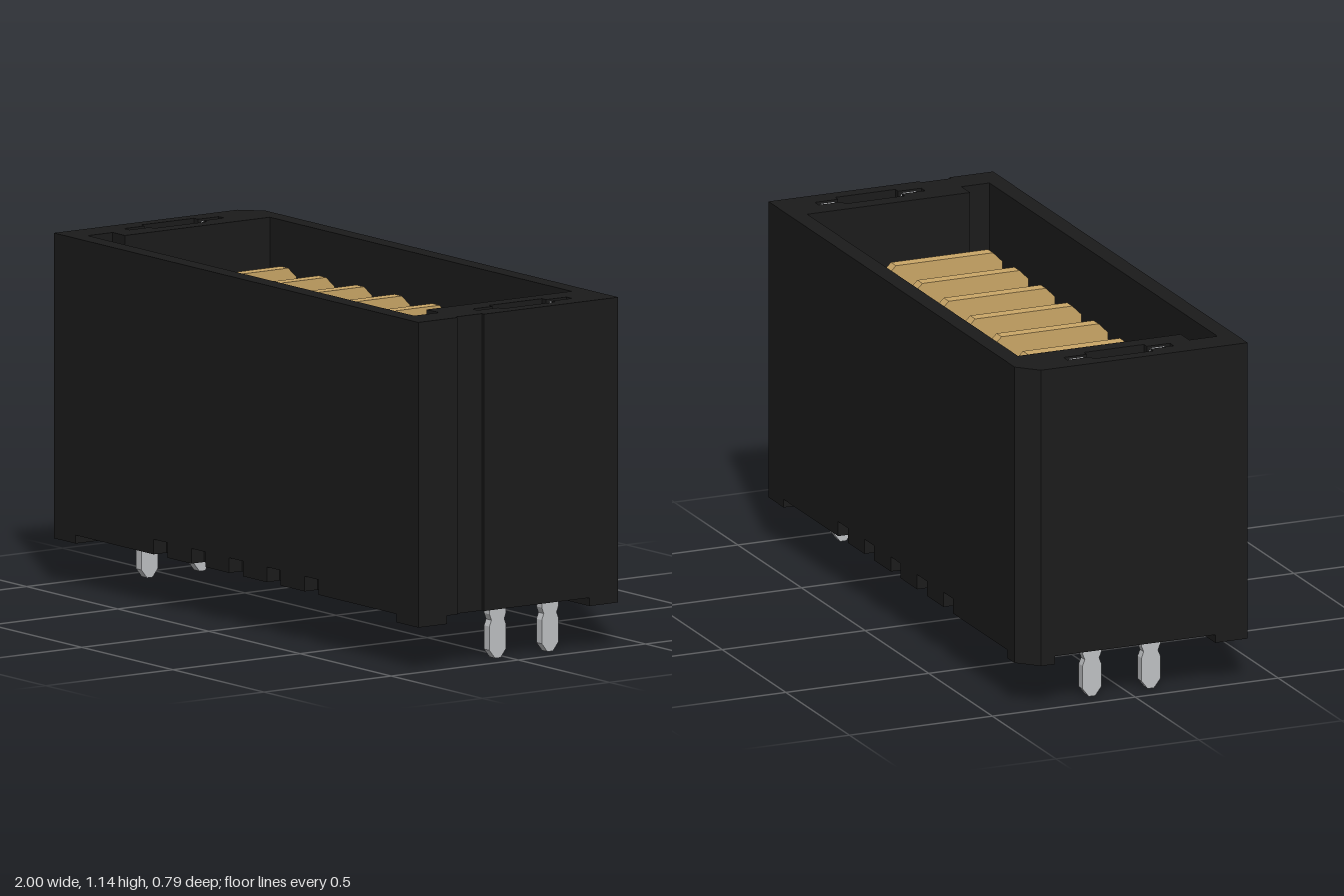
import * as THREE from 'three';

const black = new THREE.MeshStandardMaterial({ name: 'black plastic', color: 0x1b1b1b });
const gold = new THREE.MeshStandardMaterial({ name: 'gold contact', color: 0xcba767 });
const steel = new THREE.MeshStandardMaterial({ name: 'grey metal', color: 0xbfc1c4 });

// [x, z] points to 2D; z is negated so the extrusion can be turned to face up
const flat = (pts) => pts.map(([x, z]) => new THREE.Vector2(x, -z));
const rect = (x0, x1, z0, z1) => [[x0, z0], [x1, z0], [x1, z1], [x0, z1]];

// Horizontal slab between two heights; the outline runs opposite to its holes
function slab(name, outline, holes, y0, y1) {
  const shape = new THREE.Shape(flat(outline).reverse());
  shape.holes = holes.map((h) => new THREE.Path(flat(h)));
  const geo = new THREE.ExtrudeGeometry(shape, { depth: y1 - y0, bevelEnabled: false });
  geo.rotateX(-Math.PI / 2).translate(0, y0, 0);
  const mesh = new THREE.Mesh(geo, black);
  mesh.name = name;
  return mesh;
}

// Thin upright plate from [z, y] points, centred on x
function plate(name, pts, thickness, material) {
  const shape = new THREE.Shape(pts.map(([z, y]) => new THREE.Vector2(-z, y)));
  const geo = new THREE.ExtrudeGeometry(shape, { depth: thickness, bevelEnabled: false });
  geo.translate(0, 0, -thickness / 2).rotateY(Math.PI / 2);
  const mesh = new THREE.Mesh(geo, material);
  mesh.name = name;
  return mesh;
}

// Housing outline: bevelled back corner, groove in the left side, optional notches in the long edges
function housingOutline(notched) {
  const centres = [-0.414, -0.207, 0, 0.207, 0.414];
  const edge = (z, inner, dir) => centres.map((c) => c * dir).flatMap((c) => {
    const a = c - 0.038 * dir, b = c + 0.038 * dir;
    return [[a, z], [a, inner], [b, inner], [b, z]];
  });
  return [
    [-1, -0.33], [-0.935, -0.393], ...(notched ? edge(-0.393, -0.345, 1) : []), [1, -0.393],
    [1, 0.135], [0.988, 0.135], [0.988, 0.24], [1, 0.24],
    [1, 0.393], ...(notched ? edge(0.393, 0.343, -1) : []), [-1, 0.393],
  ];
}

// Cross-shaped slot that grips an end clip
function clipSlot(x, z) {
  const w = 0.037, n = 0.0145, a = 0.105, b = 0.186;
  return [[-n, -b], [n, -b], [n, -a], [w, -a], [w, a], [n, a], [n, b], [-n, b], [-n, a], [-w, a], [-w, -a], [-n, -a]]
    .map(([dx, dz]) => [x + dx, z + dz]);
}

const clips = [[-0.919, -0.022], [0.916, -0.075]];

function makeHousing() {
  const housing = new THREE.Group();
  housing.name = 'housing';
  const slots = clips.map(([x, z]) => clipSlot(x, z));
  const recesses = [rect(-0.83, -0.65, -0.335, 0.333), rect(0.65, 0.825, -0.335, 0.333)];
  const well = rect(-0.633, 0.631, -0.335, 0.333);
  const cavity = [[-0.83, -0.335], [0.825, -0.335], [0.825, 0.235], [0.893, 0.235], [0.893, 0.333],
    [-0.897, 0.333], [-0.897, 0.235], [-0.83, 0.235]];
  const plain = housingOutline(false);
  housing.add(
    slab('notchedBase', housingOutline(true), [...recesses, ...slots], 0.173, 0.222),
    slab('floor', plain, [...recesses, ...slots], 0.222, 0.3),
    slab('lowerWalls', plain, [well, ...recesses, ...slots], 0.3, 0.38),
    slab('endLedges', plain, [well, ...slots], 0.38, 0.42),
    slab('upperWalls', plain, [cavity, ...slots], 0.42, 1.137),
  );
  // Corner feet
  const feet = [
    rect(0.88, 1, 0.28, 0.393), rect(-1, -0.88, 0.28, 0.393), rect(0.88, 1, -0.393, -0.28),
    [[-1, -0.33], [-0.935, -0.393], [-0.88, -0.393], [-0.88, -0.28], [-1, -0.28]],
  ];
  for (const f of feet) housing.add(slab('foot', f, [], 0.146, 0.173));
  return housing;
}

// Blade contact with bevelled corners
function makeBlade(x) {
  const blade = plate('contactBlade', [
    [-0.145, 0.14], [0.145, 0.14], [0.202, 0.2], [0.202, 1.005], [0.17, 1.037],
    [-0.17, 1.037], [-0.202, 1.005], [-0.202, 0.2],
  ], 0.04, gold);
  blade.position.x = x;
  return blade;
}

// End clip: a flat body with two waisted, pointed legs
function makeClip(x, z) {
  const leg = (c) => [
    [c - 0.033, 0.25], [c - 0.033, 0.145], [c - 0.025, 0.125], [c - 0.033, 0.105], [c - 0.033, 0.028],
    [c - 0.011, 0], [c + 0.011, 0], [c + 0.033, 0.028], [c + 0.033, 0.105], [c + 0.025, 0.125],
    [c + 0.033, 0.145], [c + 0.033, 0.25],
  ];
  const clip = plate('endClip', [
    [-0.19, 0.25], ...leg(-0.1), ...leg(0.106), [0.19, 0.25],
    [0.19, 1.11], [0.165, 1.13], [0.12, 1.13], [0.105, 1.11], [-0.105, 1.11], [-0.12, 1.13],
    [-0.165, 1.13], [-0.19, 1.11],
  ], 0.03, steel);
  clip.position.set(x, 0, z);
  return clip;
}

export function createModel() {
  const model = new THREE.Group();
  model.name = 'pinHeader';
  model.add(makeHousing());
  for (let i = 0; i < 6; i++) model.add(makeBlade((i - 2.5) * 0.2075));
  for (const [x, z] of clips) model.add(makeClip(x, z));
  return model;
}
